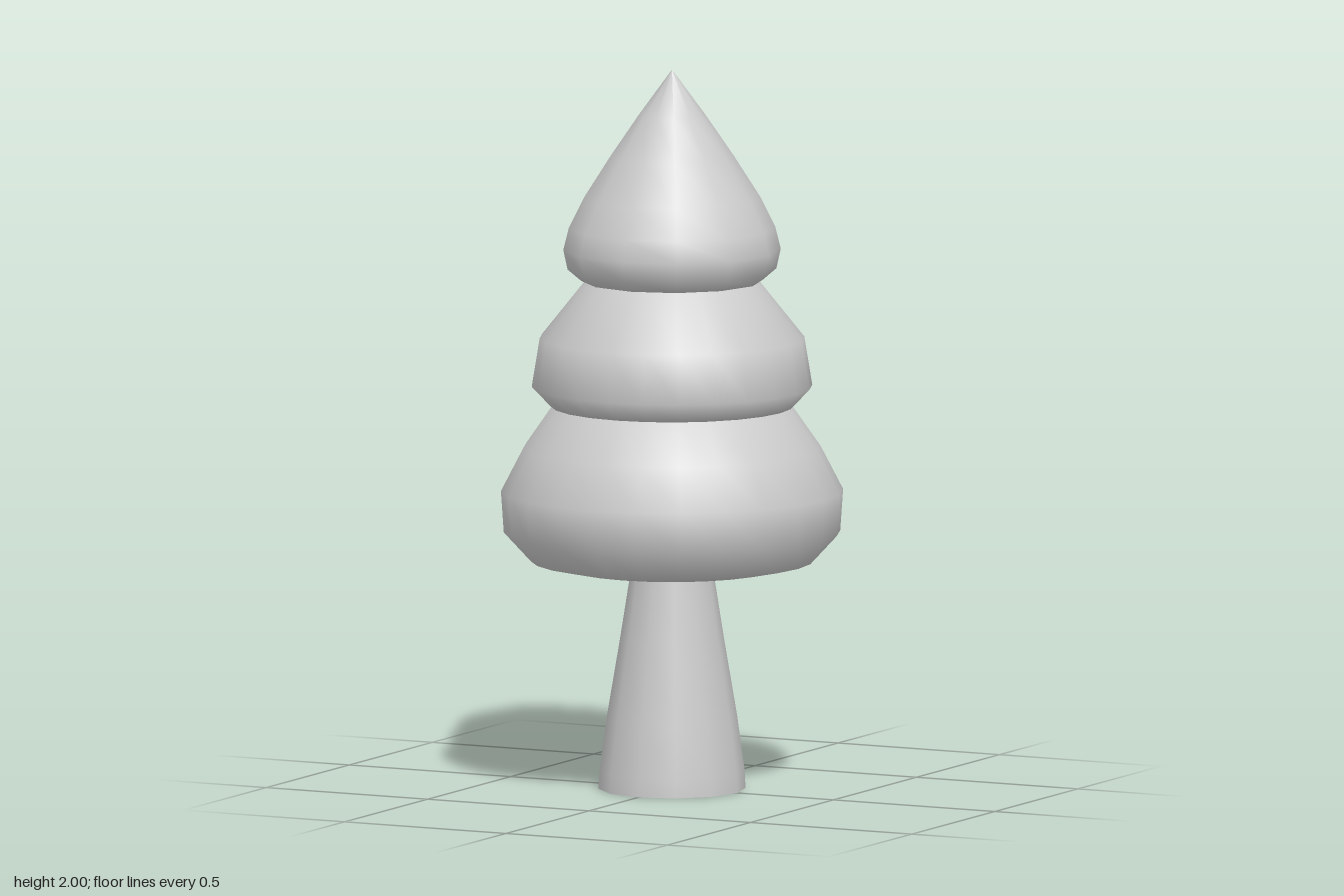
import * as THREE from 'three';

const material = new THREE.MeshStandardMaterial({ color: 0xcccccc, side: THREE.DoubleSide });

// Revolves a profile of [radius, height] points, listed from bottom to top
function turned(name, sides, profile) {
  const points = profile.map(([r, y]) => new THREE.Vector2(r, y));
  const mesh = new THREE.Mesh(new THREE.LatheGeometry(points, sides), material);
  mesh.name = name;
  return mesh;
}

export function createModel() {
  const tree = new THREE.Group();
  tree.name = 'tree';

  tree.add(
    // Flared trunk, open at the base
    turned('trunk', 12, [
      [0.203, 0], [0.2, 0.05], [0.18, 0.2], [0.143, 0.42], [0.11, 0.63],
    ]),
    // Wide lower foliage with a flat underside
    turned('lowerFoliage', 24, [
      [0, 0.615], [0.2, 0.615], [0.295, 0.615], [0.39, 0.635], [0.464, 0.715],
      [0.472, 0.83], [0.41, 0.95], [0.33, 1.065], [0.25, 1.12],
    ]),
    // Middle foliage
    turned('middleFoliage', 24, [
      [0, 1.06], [0.25, 1.06], [0.335, 1.065], [0.387, 1.12], [0.365, 1.255],
      [0.245, 1.405], [0.18, 1.45],
    ]),
    // Pointed crown
    turned('crown', 12, [
      [0, 1.405], [0.2, 1.405], [0.25, 1.413], [0.288, 1.445], [0.3, 1.5],
      [0.285, 1.56], [0.243, 1.645], [0.17, 1.76], [0.09, 1.877], [0, 2],
    ]),
  );
  return tree;
}
